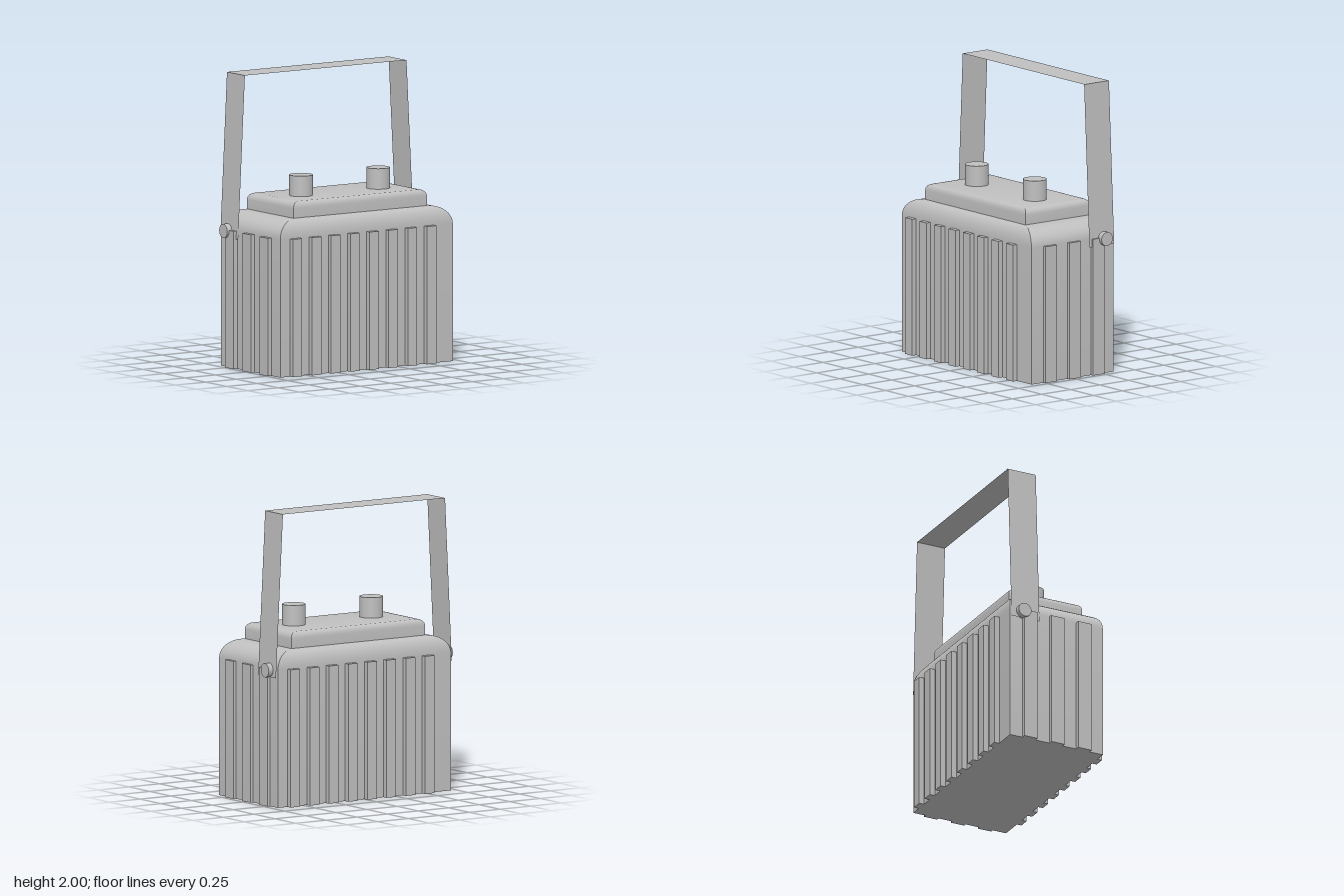
import * as THREE from 'three';
import { toCreasedNormals } from 'three/addons/utils/BufferGeometryUtils.js';

// Closed block with mitred corners, lofted through rectangles [y, halfX, halfZ]
function rectLoft(rings) {
  const corners = [[-1, 1], [1, 1], [1, -1], [-1, -1]];
  const pos = [];
  const index = [];
  for (const [y, hx, hz] of rings) {
    for (const [sx, sz] of corners) pos.push(sx * hx, y, sz * hz);
  }
  for (let r = 0; r < rings.length - 1; r++) {
    for (let i = 0; i < 4; i++) {
      const a = r * 4 + i, b = r * 4 + ((i + 1) % 4);
      index.push(a, b, b + 4, a, b + 4, a + 4);
    }
  }
  const t = (rings.length - 1) * 4;
  index.push(0, 2, 1, 0, 3, 2, t, t + 1, t + 2, t, t + 2, t + 3);
  const g = new THREE.BufferGeometry();
  g.setAttribute('position', new THREE.Float32BufferAttribute(pos, 3));
  g.setIndex(index);
  return toCreasedNormals(g, 0.5);
}

// Straight walls that roll over in a quarter ellipse at the top
function roundedTop(y0, y1, y2, hx, hz, rx, rz, steps) {
  const rings = [[y0, hx, hz]];
  for (let i = 0; i <= steps; i++) {
    const a = (i / steps) * Math.PI / 2, inset = 1 - Math.cos(a);
    rings.push([y1 + (y2 - y1) * Math.sin(a), hx - rx * inset, hz - rz * inset]);
  }
  return rectLoft(rings);
}

export function createModel() {
  const model = new THREE.Group();
  model.name = 'batteryWithHandle';
  const grey = new THREE.MeshStandardMaterial({ color: 0xc0c0c0 });
  grey.name = 'grey';
  const greyStrip = grey;
  greyStrip.side = THREE.DoubleSide;

  function add(name, geometry, x = 0, y = 0, z = 0, parent = model) {
    const mesh = new THREE.Mesh(geometry, grey);
    mesh.name = name;
    mesh.position.set(x, y, z);
    parent.add(mesh);
    return mesh;
  }

  // Case with rolled shoulders, and the raised lid
  add('case', roundedTop(0, 0.94, 1.065, 0.707, 0.353, 0.15, 0.07, 8), -0.003);
  add('lid', roundedTop(1.05, 1.13, 1.175, 0.547, 0.278, 0.045, 0.03, 4), -0.003);

  // Ribs on the front and back, staggered, and on both ends
  const ribs = new THREE.Group();
  ribs.name = 'ribs';
  model.add(ribs);
  const ribHeight = 0.94;
  const longRib = new THREE.BoxGeometry(0.077, ribHeight, 0.06);
  for (let i = 0; i < 8; i++) {
    add('frontRib', longRib, -0.592 + i * 0.157, ribHeight / 2, 0.357, ribs);
    add('backRib', longRib, -0.512 + i * 0.157, ribHeight / 2, -0.36, ribs);
  }
  const endRib = new THREE.BoxGeometry(0.06, ribHeight, 0.1);
  for (let i = 0; i < 3; i++) {
    const z = 0.2 - i * 0.205;
    add('leftRib', endRib, 0.696, ribHeight / 2, z, ribs);
    add('rightRib', endRib, -0.71, ribHeight / 2, z, ribs);
  }

  // Two terminal posts
  const post = new THREE.CylinderGeometry(0.08, 0.08, 0.16, 32);
  for (const x of [-0.313, 0.32]) add('terminal', post, x, 1.235, 0.022);

  // Carrying handle: one thin strip bent over the case
  const bends = [[-0.72, 0.885], [-0.665, 2], [0.66, 2], [0.717, 0.885]];
  const strip = new THREE.PlaneGeometry(1, 0.213, 3, 1);
  const p = strip.attributes.position;
  for (let i = 0; i < p.count; i++) {
    const [x, y] = bends[i % 4];
    p.setXYZ(i, x, y, i < 4 ? -0.348 : -0.135);
  }
  add('handle', toCreasedNormals(strip, 0.5));

  // Pivot pins joining the handle to the case
  const pin = new THREE.CylinderGeometry(0.048, 0.048, 0.06, 24);
  pin.rotateZ(Math.PI / 2);
  for (const x of [-0.725, 0.72]) add('pivotPin', pin, x, 0.932, -0.262);

  return model;
}
